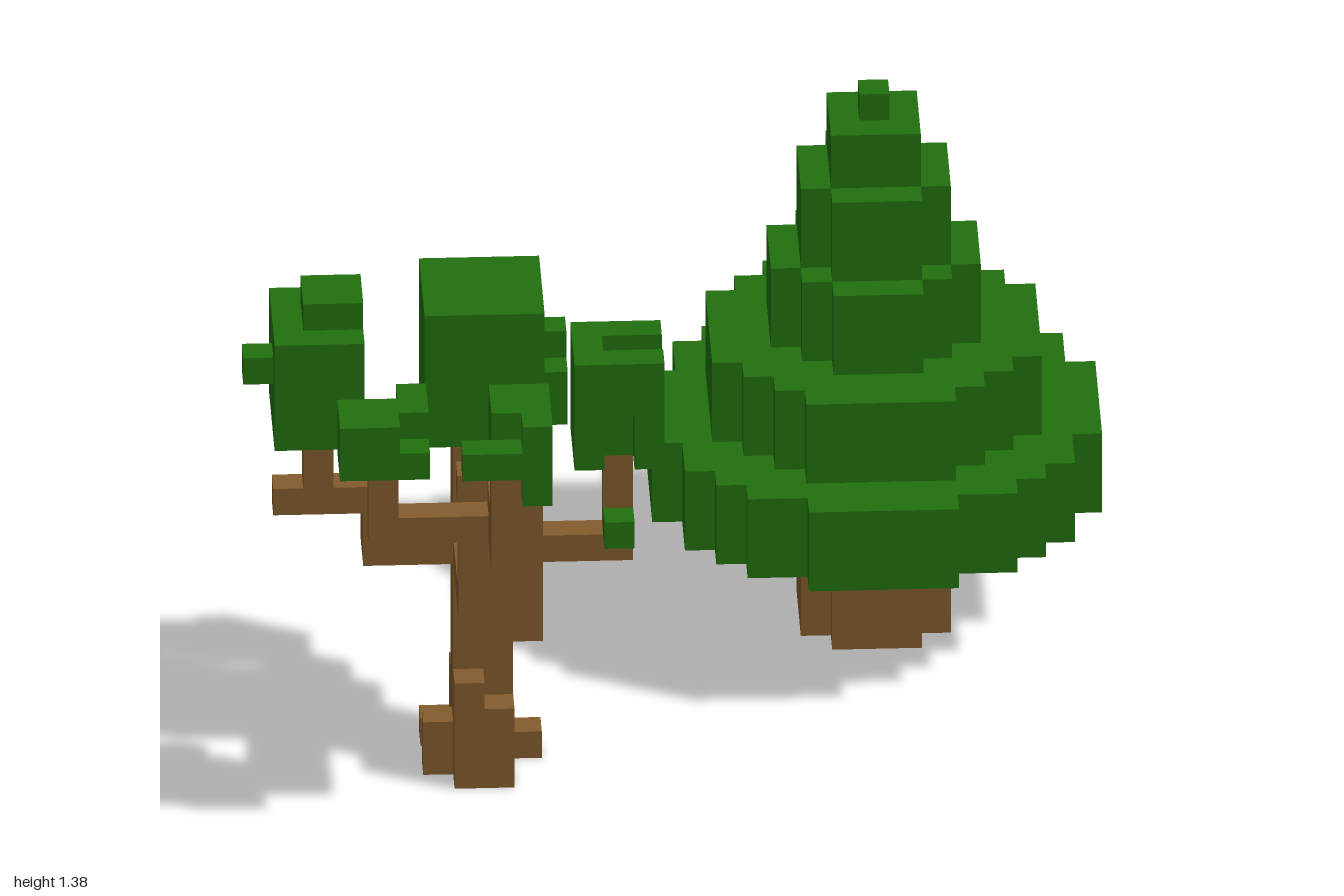
import * as THREE from 'three';
import { mergeGeometries } from 'three/addons/utils/BufferGeometryUtils.js';

const U = 2 / 29; // one block
const bark = new THREE.MeshStandardMaterial({ color: 0x835c2d });
bark.name = 'bark brown';
const leaf = new THREE.MeshStandardMaterial({ color: 0x21700f });
leaf.name = 'leaf green';

// Block coordinates: x 0..29, y 0..20, z 0..25
function place(geometry) {
  return geometry.translate(-14.5, 0, -12.5).scale(U, U, U);
}

// One part made of boxes given as [x0, x1, y0, y1, z0, z1]
function blocks(name, material, boxes) {
  const parts = boxes.map(([x0, x1, y0, y1, z0, z1]) =>
    new THREE.BoxGeometry(x1 - x0, y1 - y0, z1 - z0)
      .translate((x0 + x1) / 2, (y0 + y1) / 2, (z0 + z1) / 2));
  const mesh = new THREE.Mesh(place(mergeGeometries(parts)), material);
  mesh.name = name;
  return mesh;
}

// Stepped round disc, an odd number of blocks across
function disc(name, material, diameter, y0, y1) {
  const r = diameter / 2, n = (diameter - 1) / 2;
  const half = (k) => Math.floor(Math.sqrt(r * r - k * k)) + 0.5;
  const right = [], left = [];
  for (let k = -n; k <= n; k++) {
    const w = half(k);
    if (k > -n && half(k - 1) === w) { // lengthen the previous step
      right[right.length - 1].y = left[left.length - 1].y = k + 0.5;
      continue;
    }
    right.push(new THREE.Vector2(w, k - 0.5), new THREE.Vector2(w, k + 0.5));
    left.push(new THREE.Vector2(-w, k - 0.5), new THREE.Vector2(-w, k + 0.5));
  }
  const shape = new THREE.Shape([...right, ...left.reverse()]);
  const geometry = new THREE.ExtrudeGeometry(shape, { depth: y1 - y0, bevelEnabled: false })
    .rotateX(-Math.PI / 2).translate(21.5, y0, 7.5);
  const mesh = new THREE.Mesh(place(geometry), material);
  mesh.name = name;
  return mesh;
}

export function createModel() {
  const model = new THREE.Group();
  model.name = 'twoTrees';

  // Conifer: trunk and shrinking tiers
  const conifer = new THREE.Group();
  conifer.name = 'conifer';
  conifer.add(disc('coniferTrunk', bark, 5, 0, 5));
  [[15, 5, 8], [11, 8, 11], [7, 11, 14], [5, 14, 17], [3, 17, 19], [1, 19, 20]]
    .forEach(([d, y0, y1], i) => conifer.add(disc('coniferTier' + (i + 1), leaf, d, y0, y1)));

  // Broadleaf tree
  const tree = new THREE.Group();
  tree.name = 'broadleafTree';
  tree.add(
    blocks('trunk', bark, [
      [7, 9, 0, 13, 16, 18],
      [9, 10, 5, 13, 17, 18],
      [9, 10, 7, 13, 16, 17],
    ]),
    blocks('roots', bark, [
      [7, 8, 0, 4, 18, 19], [8, 9, 0, 3, 18, 19], // front
      [7, 9, 0, 3, 15, 16],                       // back
      [9, 10, 0, 1, 16, 17],
      [6, 7, 0, 2, 17, 18], [6, 7, 0, 1, 15, 16],
    ]),
    blocks('frontBranch', bark, [
      [7, 9, 8, 9, 18, 22],
      [7, 9, 9, 12, 21, 22],
      [8, 9, 12, 13, 21, 22],
      [8, 9, 11, 13, 22, 23],
      [8, 9, 11, 15, 23, 24],
      [7, 8, 12, 13, 20, 21],
      [4, 7, 11, 12, 21, 22], // side fork
      [4, 5, 12, 14, 21, 22],
    ]),
    blocks('outerBranch', bark, [
      [4, 7, 8, 9, 16, 18],
      [4, 5, 9, 11, 16, 18],
      [1, 4, 10, 11, 17, 18],
      [2, 3, 11, 13, 17, 18],
    ]),
    blocks('innerBranch', bark, [
      [10, 13, 8, 9, 17, 18],
      [12, 13, 9, 12, 17, 18],
    ]),
    blocks('backBranch', bark, [
      [9, 10, 8, 9, 13, 16],
      [9, 10, 9, 11, 13, 14],
    ]),
    blocks('mainCrown', leaf, [[6, 10, 13, 18, 15, 19]]),
    blocks('outerCrown', leaf, [
      [1, 4, 13, 17, 15, 19],
      [2, 4, 17, 18, 16, 18],
      [0, 1, 15, 16, 17, 18],
    ]),
    blocks('forkCrown', leaf, [
      [3, 6, 14, 15, 21, 23],
      [3, 5, 15, 16, 21, 23],
      [5, 6, 15, 16, 21, 22],
      [5, 6, 14, 16, 20, 21],
    ]),
    blocks('frontCrown', leaf, [
      [8, 10, 15, 17, 22, 24],
      [9, 10, 15, 17, 24, 25],
      [7, 9, 15, 16, 24, 25],
      [9, 10, 14, 15, 23, 25],
    ]),
    blocks('innerCrown', leaf, [
      [11, 14, 12, 15, 16, 18],
      [11, 12, 15, 16, 16, 18],
      [12, 14, 15, 16, 16, 17],
      [11, 14, 14, 16, 18, 19],
      [11, 12, 12, 14, 18, 19],
      [13, 14, 12, 14, 18, 19],
      [12, 13, 9, 10, 18, 19], // stray leaf
    ]),
    blocks('backCrown', leaf, [
      [8, 11, 11, 14, 12, 13],
      [8, 9, 11, 14, 13, 14],
      [9, 11, 11, 13, 13, 14],
      [8, 9, 11, 12, 11, 12],
    ]),
  );

  model.add(conifer, tree);
  return model;
}
